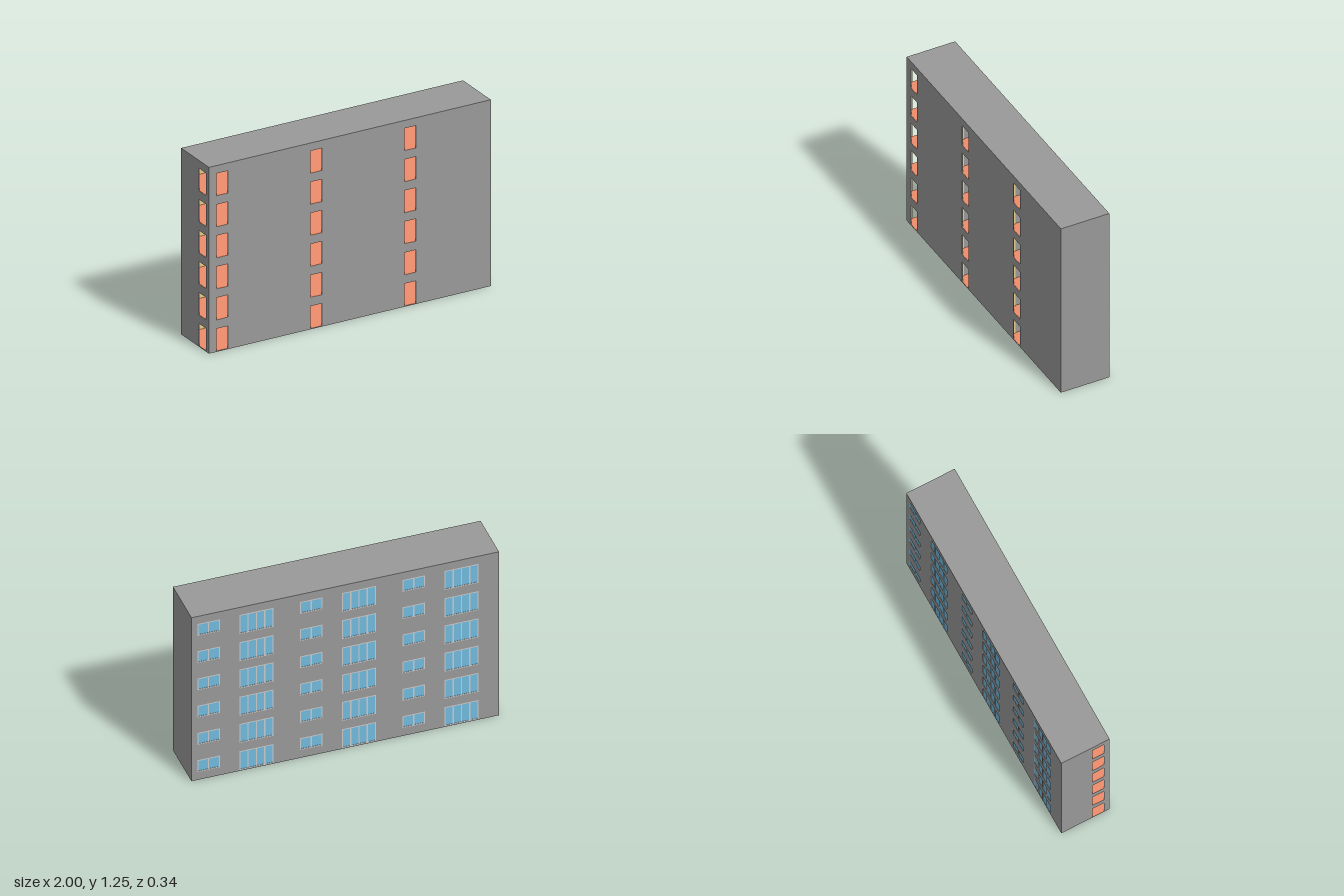
import * as THREE from 'three';

const FLOORS = 6, UNITS = 3;
const H = 1.25, STOREY = H / FLOORS, UNIT = 2 / UNITS;
const FRONT = 0.168, BACK = -0.168, SKIN = 0.002, SLAB = 0.003;

const material = (color) => new THREE.MeshStandardMaterial({ color });

export function createModel() {
  const model = new THREE.Group();
  const concrete = material(0x999999);
  const frameGrey = material(0xcccccc);
  const plaster = material(0xe6cb85);
  const tile = material(0xee8c6a);
  const glass = material(0x72bade);

  const add = (name, geometry, mat, x = 0, y = 0, z = 0, parent = model) => {
    const mesh = new THREE.Mesh(geometry, mat);
    mesh.name = name;
    mesh.position.set(x, y, z);
    parent.add(mesh);
    return mesh;
  };

  // Box given by its minimum and maximum corners
  const box = (name, mat, a, b, parent) => add(
    name, new THREE.BoxGeometry(b[0] - a[0], b[1] - a[1], b[2] - a[2]), mat,
    (a[0] + b[0]) / 2, (a[1] + b[1]) / 2, (a[2] + b[2]) / 2, parent);

  // Flat panel with rectangular holes, each rectangle as [u0, y0, u1, y1]
  const corners = ([u0, y0, u1, y1]) => [
    new THREE.Vector2(u0, y0), new THREE.Vector2(u1, y0),
    new THREE.Vector2(u1, y1), new THREE.Vector2(u0, y1)];
  const panel = (rect, holes) => {
    const shape = new THREE.Shape(corners(rect));
    shape.holes = holes.map((hole) => new THREE.Path(corners(hole).reverse()));
    return new THREE.ExtrudeGeometry(shape, { depth: SKIN, bevelEnabled: false });
  };

  const doorways = [], sideOpenings = [], windows = [];
  for (let f = 0; f < FLOORS; f++) {
    const y = f * STOREY;
    sideOpenings.push([0.047, y + 0.005, 0.13, y + 0.155]);
    for (let u = 0; u < UNITS; u++) {
      const x = -1 + u * UNIT;
      doorways.push([x + 0.053, y + 0.005, x + 0.135, y + 0.155]);
      windows.push({ rect: [x + 0.133, y + 0.005, x + 0.355, y + 0.15], panes: 4 });
      windows.push({ rect: [x + 0.481, y + 0.06, x + 0.628, y + 0.15], panes: 2 });
    }
  }
  const windowHoles = windows.map((w) => w.rect);
  const top = H - SLAB;

  // Front and back walls, each a thin outer skin with a plastered lining
  const facade = [-1, SLAB, 1, top], lining = [-1 + SKIN, SLAB, 1 - SKIN, top];
  add('frontWall', panel(facade, doorways), concrete, 0, 0, FRONT - SKIN);
  add('frontLining', panel(lining, doorways), plaster, 0, 0, FRONT - 2 * SKIN);
  add('backWall', panel(facade, windowHoles), concrete, 0, 0, BACK);
  add('backLining', panel(lining, []), plaster, 0, 0, BACK + 2 * SKIN);

  // Side walls of each unit: the right-hand one has an opening on every floor
  const zIn = BACK + SKIN, zOut = FRONT - SKIN;
  const sideWall = (name, x, holes, mat) => {
    const mesh = add(name, panel([zIn, SLAB, zOut, top], holes), mat, x + SKIN);
    mesh.rotation.y = -Math.PI / 2;
  };
  for (let u = 0; u < UNITS; u++) {
    const x0 = -1 + u * UNIT, x1 = x0 + UNIT;
    sideWall('openSideWall', x0, sideOpenings, concrete);
    sideWall('openSideLining', x0 + SKIN, sideOpenings, plaster);
    sideWall('closedSideLining', x1 - 2 * SKIN, [], plaster);
    sideWall('closedSideWall', x1 - SKIN, [], concrete);
  }

  // Roof and base, flush with the walls
  box('roof', concrete, [-1, top, BACK], [1, H, FRONT]);
  box('base', concrete, [-1, 0, BACK], [1, SLAB, FRONT]);

  // One tiled floor per storey, with a plastered slab below the upper ones
  const floorBack = BACK + 2.5 * SKIN;
  for (let f = 0; f < FLOORS; f++) {
    const y = f * STOREY;
    if (f > 0) box('ceilingSlab', plaster, [-0.997, y - 0.01, floorBack], [0.997, y + 0.001, zOut - SKIN / 2]);
    box('tiledFloor', tile, [-0.999, y + 0.001, floorBack], [0.997, y + 0.006, FRONT - 0.001]);
  }

  // Windows: a frame set flush in the wall, with equal panes over a sheet of glass
  const bar = 0.007;
  for (const { rect, panes } of windows) {
    const [x0, y0, x1, y1] = rect;
    const group = new THREE.Group();
    group.name = panes === 4 ? 'tallWindow' : 'smallWindow';
    const pitch = (x1 - x0 - bar) / panes;
    const openings = Array.from({ length: panes }, (_, i) => [
      x0 + bar + i * pitch, y0 + bar, x0 + (i + 1) * pitch, y1 - bar]);
    add('windowFrame', panel(rect, openings), frameGrey, 0, 0, BACK, group);
    add('windowGlass', panel(rect, []), glass, 0, 0, BACK + SKIN, group);
    model.add(group);
  }
  return model;
}
